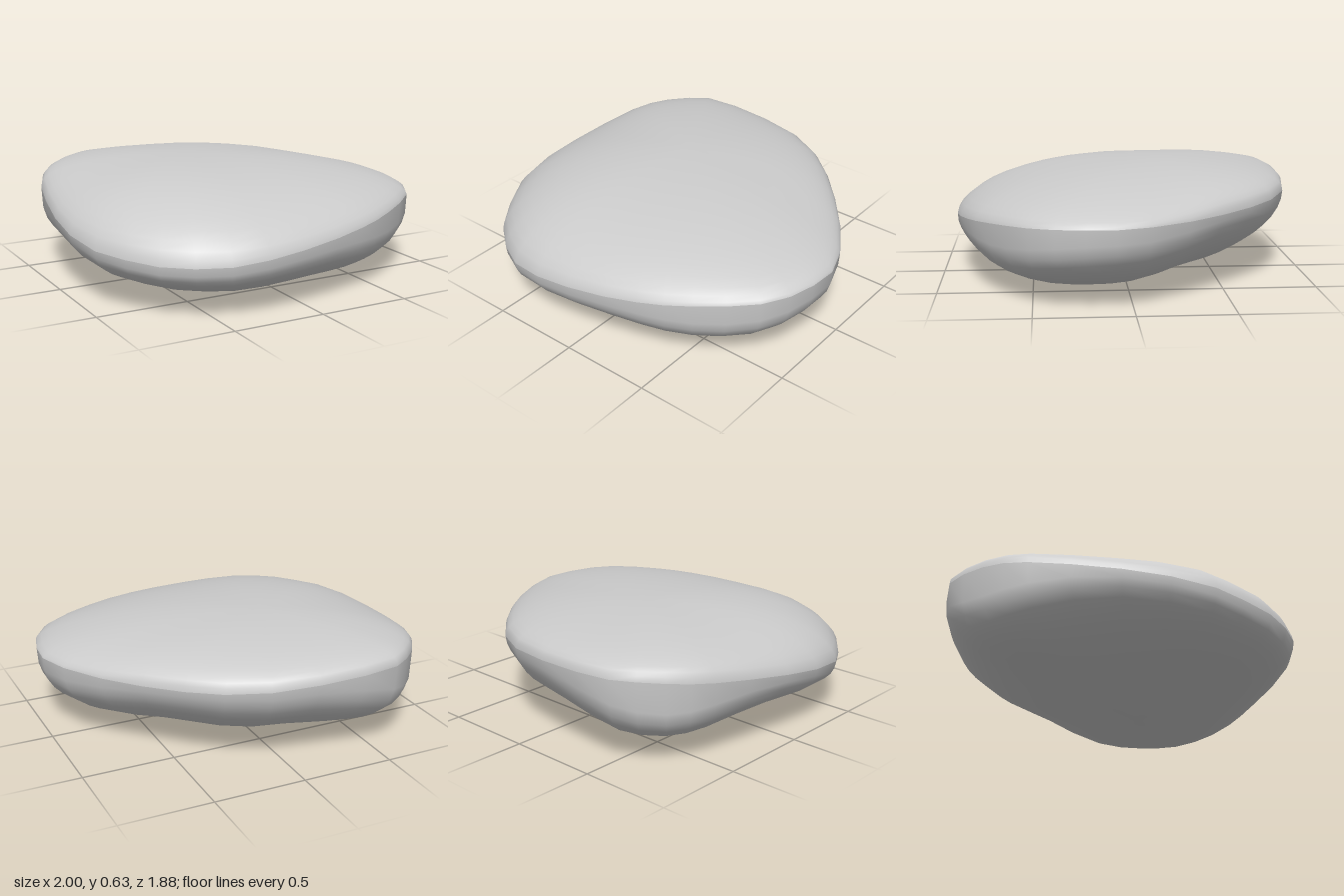
import * as THREE from 'three';

// Outline of the rim seen from above, as x, z pairs
const OUTLINE = [
  [-0.57, -0.915], [-0.37, -0.94], [-0.12, -0.93], [0.13, -0.885], [0.34, -0.78], [0.5, -0.645],
  [0.66, -0.475], [0.81, -0.29], [0.94, -0.08], [1, 0.09], [0.99, 0.24], [0.95, 0.39],
  [0.87, 0.52], [0.74, 0.63], [0.6, 0.72], [0.47, 0.79], [0.34, 0.84], [0.16, 0.89],
  [-0.06, 0.925], [-0.27, 0.935], [-0.46, 0.91], [-0.62, 0.83], [-0.76, 0.72], [-0.87, 0.57],
  [-0.96, 0.41], [-1, 0.18], [-0.99, -0.06], [-0.95, -0.31], [-0.9, -0.52], [-0.85, -0.64],
  [-0.78, -0.74], [-0.68, -0.84],
];
const RINGS = 14;

// Highest and lowest points of the stone
const TOP = new THREE.Vector3(-0.15, 0.632, -0.2);
const BOTTOM = new THREE.Vector3(0.02, 0, 0.12);

// Fullness exponents every 45 degrees from +x towards +z (small = boxy, large = tapering)
const TOP_FULLNESS = [0.64, 0.57, 0.58, 0.52, 0.54, 0.38, 0.42, 0.42];
const BOTTOM_FULLNESS = [0.39, 0.28, 0.43, 0.42, 0.5, 0.24, 0.52, 0.6];

// The rim lies on a tilted, slightly twisted plane
const rimHeight = (x, z) => 0.395 + 0.03 * x - 0.075 * z + 0.07 * x * z;

// Smooth periodic blend between the eight directions
function fullness(table, x, z) {
  const t = ((Math.atan2(z, x) / (Math.PI * 2) + 1) % 1) * 8;
  const i = Math.floor(t);
  const k = THREE.MathUtils.smoothstep(t - i, 0, 1);
  return THREE.MathUtils.lerp(table[i % 8], table[(i + 1) % 8], k);
}

// Dome of outline loops growing from a pole to the rim
function dome(pole, table, up) {
  const n = OUTLINE.length;
  const position = pole.toArray();
  const index = [];
  for (let r = 1; r <= RINGS; r++) {
    const s = r === RINGS ? 1 : Math.sin((r / RINGS) * Math.PI / 2);
    for (const [ox, oz] of OUTLINE) {
      const x = THREE.MathUtils.lerp(pole.x, ox, s);
      const z = THREE.MathUtils.lerp(pole.z, oz, s);
      const f = Math.pow(1 - s * s, fullness(table, ox, oz));
      position.push(x, THREE.MathUtils.lerp(rimHeight(x, z), pole.y, f), z);
    }
  }
  const tri = (a, b, c) => index.push(...(up ? [a, c, b] : [a, b, c]));
  for (let i = 0; i < n; i++) {
    const j = (i + 1) % n;
    tri(0, 1 + i, 1 + j);
    for (let r = 0; r < RINGS - 1; r++) {
      const a = 1 + r * n, b = a + n;
      tri(a + i, b + i, b + j);
      tri(a + i, b + j, a + j);
    }
  }
  const geometry = new THREE.BufferGeometry();
  geometry.setAttribute('position', new THREE.Float32BufferAttribute(position, 3));
  geometry.setIndex(index);
  geometry.computeVertexNormals();
  return geometry;
}

export function createModel() {
  const group = new THREE.Group();
  group.name = 'pebble';
  const material = new THREE.MeshStandardMaterial({ color: 0xcccccc });

  // Upper and lower halves meet in a crisp edge at the rim
  const upper = new THREE.Mesh(dome(TOP, TOP_FULLNESS, true), material);
  upper.name = 'upperStone';
  const lower = new THREE.Mesh(dome(BOTTOM, BOTTOM_FULLNESS, false), material);
  lower.name = 'lowerStone';
  group.add(upper, lower);
  return group;
}
